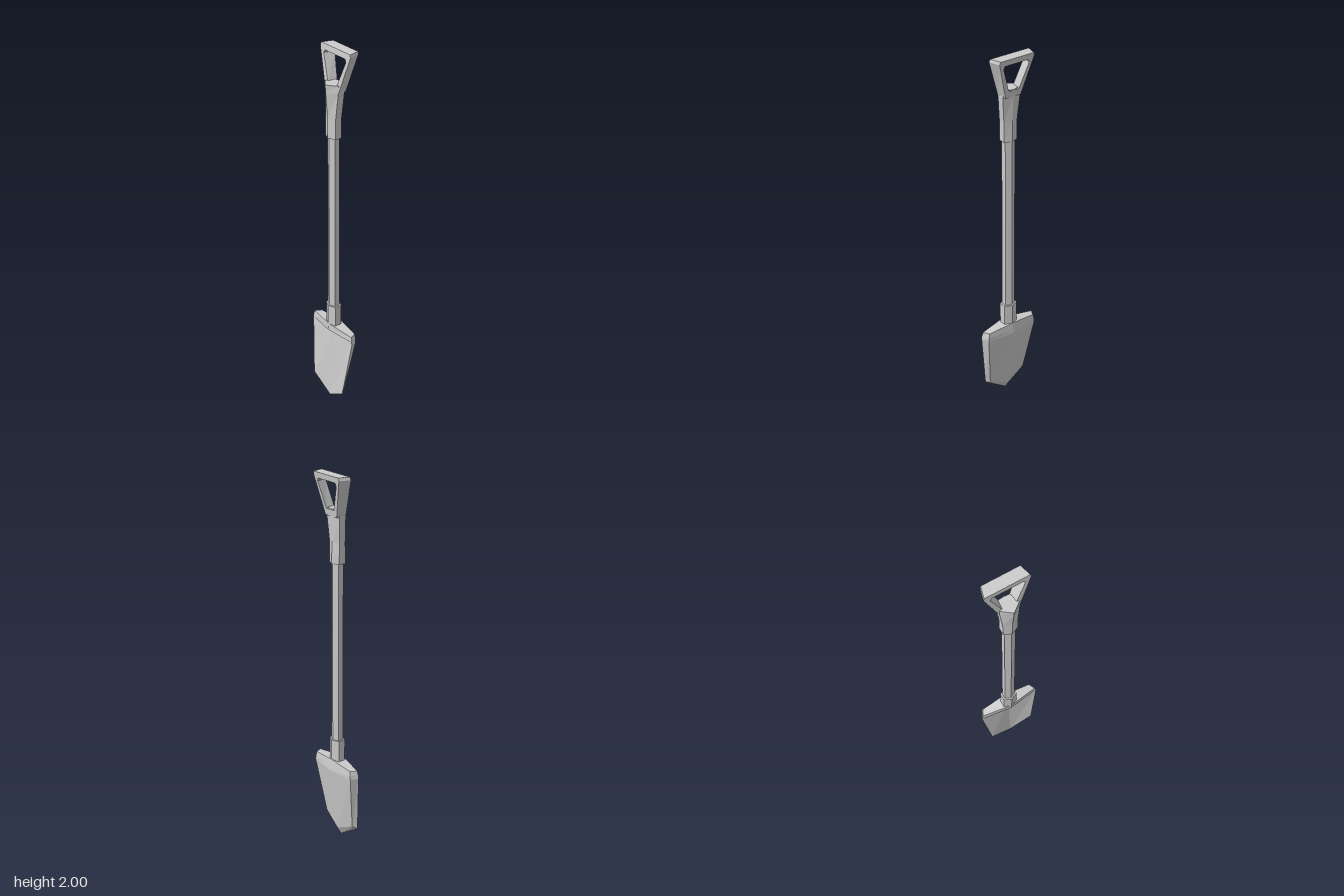
import * as THREE from 'three';

const material = new THREE.MeshStandardMaterial({ color: 0xcccccc, flatShading: true });

// Mirrors half a section (front centre, front side, back side, back centre) into a six-point ring.
function ring(frontCentre, frontSide, backSide, backCentre) {
  const flip = ([x, y, z]) => [-x, y, z];
  return [frontCentre, frontSide, backSide, backCentre, flip(backSide), flip(frontSide)];
}

// Level six-sided section: half width, then z from front to back.
function hex(y, w, front, frontSide, backSide, back) {
  return ring([0, y, front], [w, y, frontSide], [w, y, backSide], [0, y, back]);
}

// Closed faceted skin through rings listed from bottom to top.
function loft(name, rings) {
  const positions = [];
  const tri = (...corners) => corners.forEach((p) => positions.push(...p));
  const n = rings[0].length;
  for (let r = 0; r < rings.length - 1; r++) {
    for (let i = 0; i < n; i++) {
      const j = (i + 1) % n;
      const a = rings[r], b = rings[r + 1];
      tri(a[i], a[j], b[j]);
      tri(a[i], b[j], b[i]);
    }
  }
  const bottom = rings[0], top = rings[rings.length - 1];
  for (let i = 1; i < n - 1; i++) {
    tri(bottom[0], bottom[i + 1], bottom[i]);
    tri(top[0], top[i], top[i + 1]);
  }
  const geometry = new THREE.BufferGeometry();
  geometry.setAttribute('position', new THREE.Float32BufferAttribute(positions, 3));
  geometry.computeVertexNormals();
  const mesh = new THREE.Mesh(geometry, material);
  mesh.name = name;
  return mesh;
}

// Triangular hand loop: leans backward and narrows toward the back.
function handLoop() {
  const half = [[0.053, 1.79], [0.12, 1.985], [0.115, 2.0]];
  const outline = [...half, ...half.slice().reverse().map(([x, y]) => [-x, y])];
  const shape = new THREE.Shape(outline.map(([x, y]) => new THREE.Vector2(x, y)));
  const hole = [[-0.035, 1.825], [-0.088, 1.955], [-0.08, 1.97], [0.08, 1.97], [0.088, 1.955], [0.035, 1.825]];
  shape.holes.push(new THREE.Path(hole.map(([x, y]) => new THREE.Vector2(x, y))));
  const geometry = new THREE.ExtrudeGeometry(shape, { depth: 1, bevelEnabled: false });
  const p = geometry.attributes.position;
  for (let i = 0; i < p.count; i++) {
    const x = p.getX(i), y = p.getY(i), depth = p.getZ(i);
    const t = (y - 1.79) / 0.21;
    const front = THREE.MathUtils.lerp(0.022, 0, t);
    const back = THREE.MathUtils.lerp(-0.028, -0.06, t);
    p.setX(i, x * THREE.MathUtils.lerp(0.86, 1, depth));
    p.setZ(i, THREE.MathUtils.lerp(back, front, depth));
  }
  geometry.computeVertexNormals();
  const mesh = new THREE.Mesh(geometry, material);
  mesh.name = 'handLoop';
  return mesh;
}

export function createModel() {
  const group = new THREE.Group();
  group.name = 'shovel';

  // Dished pointed blade with a foot lip along its top
  group.add(loft('blade', [
    ring([0, 0, 0.037], [0.13, 0.085, 0.05], [0.115, 0.1, 0.025], [0, 0.045, 0.012]),
    ring([0, 0.415, 0.008], [0.174, 0.415, 0.02], [0.155, 0.41, -0.02], [0, 0.41, -0.035]),
    ring([0, 0.43, 0.046], [0.172, 0.43, 0.021], [0.154, 0.43, -0.02], [0, 0.43, -0.033]),
    ring([0, 0.472, 0.046], [0.165, 0.457, 0.018], [0.148, 0.457, -0.017], [0, 0.472, -0.028]),
  ]));

  // Collar joining blade and shaft
  group.add(loft('collar', [0.44, 0.585].map((y) => hex(y, 0.04, 0.048, 0.03, -0.009, -0.027))));

  // Six-sided shaft
  group.add(loft('shaft', [0.5, 1.62].map((y) => hex(y, 0.03, 0.04, 0.025, -0.004, -0.019))));

  // Flared socket under the hand loop
  group.add(loft('gripSocket', [
    hex(1.55, 0.04, 0.047, 0.03, -0.008, -0.025),
    hex(1.66, 0.041, 0.047, 0.028, -0.008, -0.023),
    hex(1.79, 0.053, 0.058, 0.022, -0.015, -0.029),
    hex(1.83, 0.052, 0.061, 0.021, -0.018, -0.034),
  ]));

  group.add(handLoop());
  return group;
}
